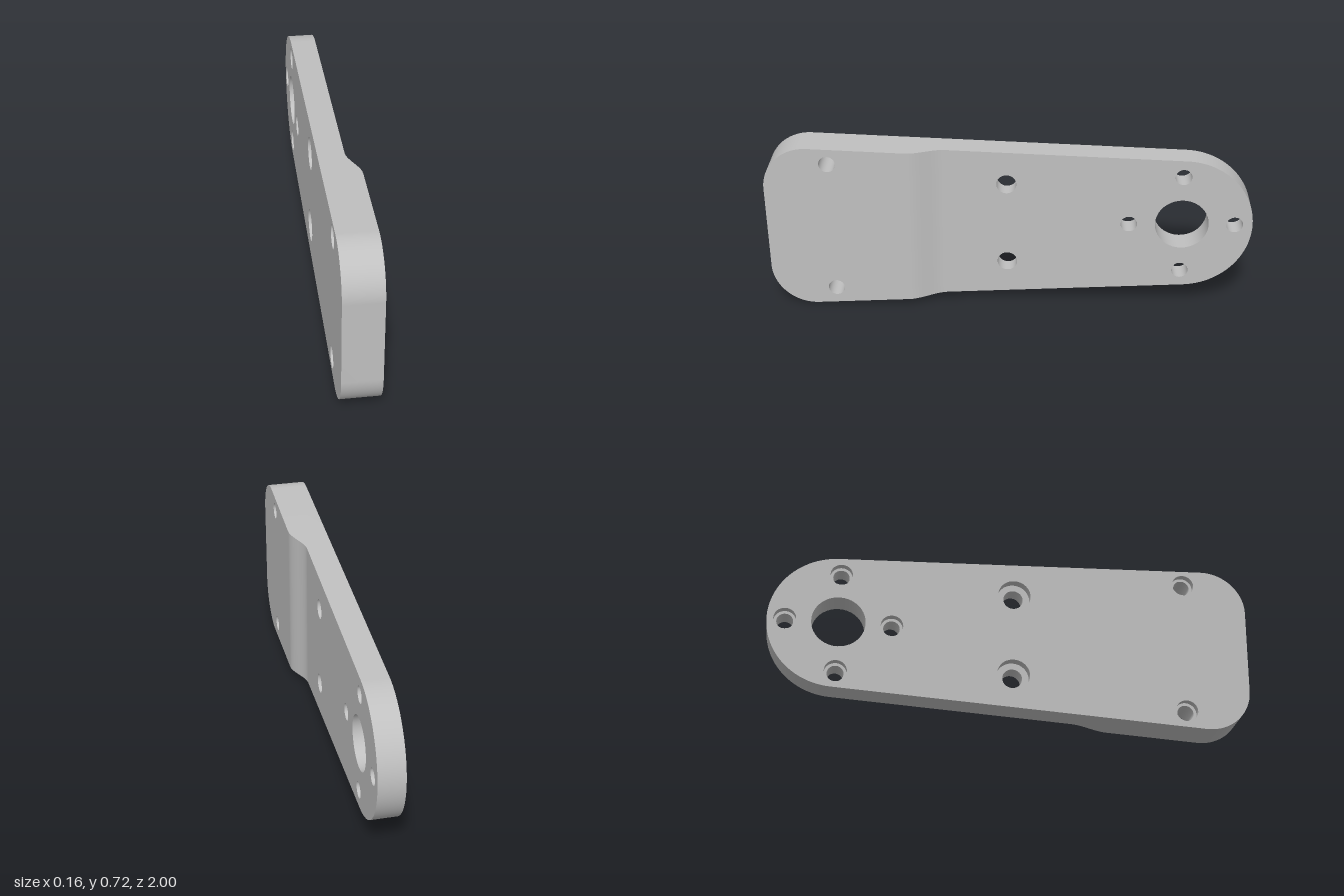
import * as THREE from 'three';
import { mergeGeometries, mergeVertices } from 'three/addons/utils/BufferGeometryUtils.js';

// The plate is drawn in (u, y) with u = -z; x is the thickness direction.
const STEP_START = 0.26, STEP_END = 0.42, STEP_DIVISIONS = 10;
const lean = (u) => 0.0075 * u;
const backX = (u) => -0.0755 + lean(u);
const frontX = (u) => 0.0325 + 0.05 * THREE.MathUtils.smoothstep(-u, STEP_START, STEP_END) + lean(u);

// z, y, hole radius, counterbore radius, counterbore depth
const HOLES = [
  [0.735, 0.652, 0.034, 0.046, 0.03],
  [0.725, 0.076, 0.034, 0.046, 0.03],
  [0.012, 0.553, 0.041, 0.068, 0.04],
  [0.008, 0.193, 0.041, 0.068, 0.04],
  [-0.706, 0.6, 0.034, 0.046, 0.03],
  [-0.711, 0.168, 0.034, 0.046, 0.03],
  [-0.492, 0.381, 0.034, 0.046, 0.03],
  [-0.925, 0.387, 0.034, 0.046, 0.03],
  [-0.709, 0.385, 0.11, 0, 0],
];

function arc(u, y, r, a0, a1, n) {
  return Array.from({ length: n + 1 }, (_, i) => {
    const a = a0 + ((a1 - a0) * i) / n;
    return new THREE.Vector2(u + r * Math.cos(a), y + r * Math.sin(a));
  });
}

const circle = (u, y, r) => arc(u, y, r, 0, Math.PI * 2, 40).slice(0, -1);

// Outline: three rounded corners joined by their outer tangents, counter-clockwise
function makeOutline(breaks) {
  const rounds = [[-0.815, 0.18, 0.18], [0.71, 0.385, 0.288], [-0.82, 0.54, 0.18]];
  const tangent = (a, b) => {
    const du = b[0] - a[0], dy = b[1] - a[1];
    return Math.atan2(dy, du) - Math.acos((a[2] - b[2]) / Math.hypot(du, dy));
  };
  const pts = rounds.flatMap((c, i) => {
    const a0 = tangent(rounds[(i + 2) % 3], c);
    let a1 = tangent(c, rounds[(i + 1) % 3]);
    while (a1 < a0) a1 += Math.PI * 2;
    return arc(...c, a0, a1, i === 1 ? 48 : 24);
  });
  // Add points where the long edges cross the thickness step
  return pts.flatMap((p, i) => {
    const q = pts[(i + 1) % pts.length];
    const cuts = breaks
      .map((b) => (b - p.x) / (q.x - p.x))
      .filter((t) => t > 0 && t < 1)
      .sort((a, b) => a - b);
    return [p, ...cuts.map((t) => p.clone().lerp(q, t))];
  });
}

function build(positions, index) {
  const g = new THREE.BufferGeometry();
  g.setAttribute('position', new THREE.Float32BufferAttribute(positions, 3));
  g.setIndex(index);
  return g;
}

// Face over a contour with holes, set at x = xAt(u)
function cap(contour, holes, xAt, facesBack = false) {
  const tris = THREE.ShapeUtils.triangulateShape(contour, holes);
  const pos = [contour, ...holes].flat().flatMap((p) => [xAt(p.x), p.y, -p.x]);
  return build(pos, tris.flatMap(([a, b, c]) => (facesBack ? [a, c, b] : [a, b, c])));
}

// Wall along a loop between two x functions; inward for holes
function wall(loop, x0, x1, inward = false) {
  const n = loop.length, index = [];
  const pos = loop.flatMap((p) => [x0(p.x), p.y, -p.x, x1(p.x), p.y, -p.x]);
  for (let i = 0; i < n; i++) {
    const a = 2 * i, b = 2 * ((i + 1) % n);
    index.push(...(inward ? [a, b + 1, b, a, a + 1, b + 1] : [a, b, b + 1, a, b + 1, a + 1]));
  }
  return build(pos, index);
}

export function createModel() {
  const model = new THREE.Group();
  model.name = 'armPlate';
  const metal = new THREE.MeshStandardMaterial({ color: 0xc0c0c0 });
  metal.name = 'light grey metal';
  const add = (name, geometry, parent = model) => {
    geometry.computeVertexNormals();
    const mesh = new THREE.Mesh(geometry, metal);
    mesh.name = name;
    parent.add(mesh);
  };

  const breaks = Array.from({ length: STEP_DIVISIONS + 1 },
    (_, i) => -STEP_END + ((STEP_END - STEP_START) * i) / STEP_DIVISIONS);
  const outline = makeOutline(breaks);

  // Outer rim
  add('rim', wall(outline, backX, frontX));

  // Stepped face: thick pad, curved step strips, thin arm
  const limits = [-2, ...breaks, 2];
  const strips = limits.slice(1).map((hi, i) => {
    const lo = limits[i];
    const part = outline.filter((p) => p.x > lo - 1e-6 && p.x < hi + 1e-6);
    const holes = HOLES.filter(([z]) => -z > lo && -z < hi).map(([z, y, r]) => circle(-z, y, r));
    return cap(part, holes, frontX);
  });
  add('steppedFace', mergeVertices(mergeGeometries(strips), 1e-5));

  // Flat face with the counterbore openings
  const openings = HOLES.map(([z, y, r, R]) => circle(-z, y, R || r));
  add('flatFace', cap(outline, openings, backX, true));

  // Holes: bore, and counterbore with its ledge
  HOLES.forEach(([z, y, r, R, depth]) => {
    const hole = new THREE.Group();
    hole.name = R ? 'screwHole' : 'shaftHole';
    model.add(hole);
    const ledgeX = (u) => backX(u) + depth;
    const bore = circle(-z, y, r);
    add('bore', wall(bore, ledgeX, frontX, true), hole);
    if (R) {
      const rim = circle(-z, y, R);
      add('counterbore', wall(rim, backX, ledgeX, true), hole);
      add('ledge', cap(rim, [bore], ledgeX, true), hole);
    }
  });

  return model;
}
